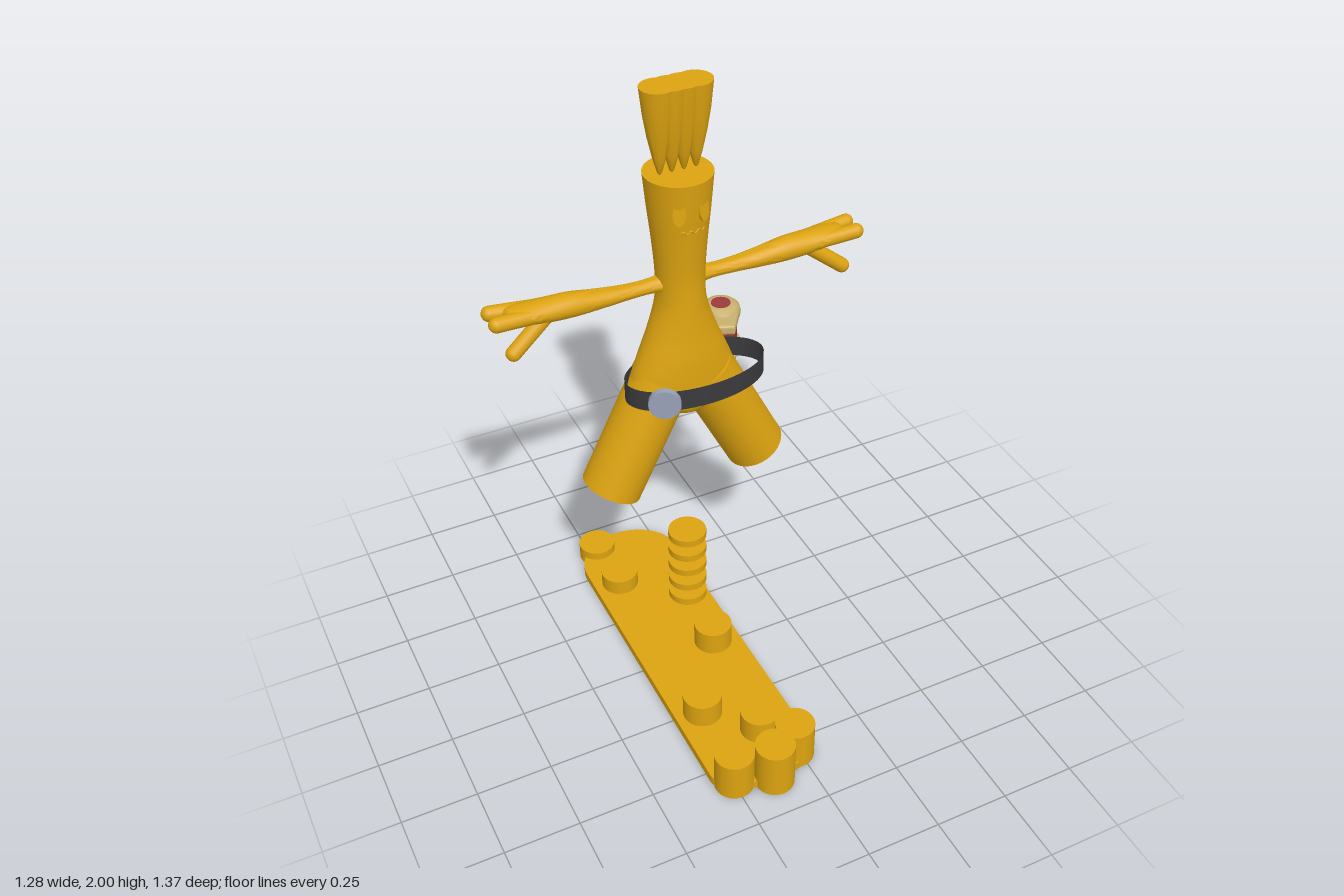
import * as THREE from 'three';
import { toCreasedNormals } from 'three/addons/utils/BufferGeometryUtils.js';

const material = (name, color, side = THREE.FrontSide) => {
  const m = new THREE.MeshStandardMaterial({ color, side });
  m.name = name;
  return m;
};

// Smooth elliptical loft, listed from top to bottom as [cx, y, cz, rx, rz]
function loft(sections, rows = 28, sides = 36) {
  const curve = (pick) => new THREE.CatmullRomCurve3(
    sections.map((s) => new THREE.Vector3(...pick(s))), false, 'catmullrom', 0.5);
  const centres = curve((s) => [s[0], s[1], s[2]]);
  const radii = curve((s) => [s[3], s[4], 0]);
  const geo = new THREE.CylinderGeometry(1, 1, 1, sides, rows);
  const p = geo.attributes.position;
  for (let i = 0; i < p.count; i++) {
    const t = Math.min(1, Math.max(0, 0.5 - p.getY(i)));
    const c = centres.getPoint(t), r = radii.getPoint(t);
    p.setXYZ(i, c.x + p.getX(i) * r.x, c.y, c.z + p.getZ(i) * r.y);
  }
  return toCreasedNormals(geo, 0.9);
}

export function createModel() {
  const gold = material('gold', 0xdca310);
  const black = material('belt black', 0x3a3a3d, THREE.DoubleSide);
  const steel = material('buckle grey', 0x98a1b8);
  const tan = material('tan', 0xc9b06e);
  const red = material('dull red', 0x9c3a3e);

  const model = new THREE.Group();
  const add = (name, geo, mat, x = 0, y = 0, z = 0, parent = model) => {
    const mesh = new THREE.Mesh(geo, mat);
    mesh.name = name;
    mesh.position.set(x, y, z);
    parent.add(mesh);
    return mesh;
  };
  // Round-ended or flat-ended rod between two points
  const rod = (name, a, b, r, round, parent) => {
    const A = new THREE.Vector3(...a), B = new THREE.Vector3(...b);
    const len = A.distanceTo(B);
    const geo = round ? new THREE.CapsuleGeometry(r, len, 8, 18)
      : new THREE.CylinderGeometry(r, r, len, 36);
    const mid = A.clone().add(B).multiplyScalar(0.5);
    const mesh = add(name, geo, gold, mid.x, mid.y, mid.z, parent);
    mesh.quaternion.setFromUnitVectors(new THREE.Vector3(0, 1, 0), B.sub(A).normalize());
  };

  // Figure, standing behind the middle of the board
  const figure = new THREE.Group();
  figure.name = 'figure';
  figure.position.z = -0.315;
  model.add(figure);

  add('body', loft([
    [0, 1.715, 0, 0.11, 0.11], [0, 1.6, 0, 0.1, 0.1], [0, 1.48, 0, 0.088, 0.088],
    [0, 1.36, 0, 0.08, 0.08], [0, 1.26, 0, 0.084, 0.084], [0, 1.16, 0, 0.114, 0.092],
    [0, 1.07, 0, 0.15, 0.102], [0, 0.98, 0, 0.182, 0.106], [0, 0.92, 0, 0.17, 0.105],
    [0, 0.87, 0, 0.1, 0.09], [0, 0.84, 0, 0.03, 0.05],
  ], 50), gold, 0, 0, 0, figure);

  for (const s of [-1, 1]) {
    rod('leg', [s * 0.27, 0.58, 0], [s * 0.07, 0.98, 0], 0.104, false, figure);

    // Arm with two fingers and a thumb, mirrored to the other side
    const arm = new THREE.Group();
    arm.name = s > 0 ? 'leftArm' : 'rightArm';
    arm.scale.x = s;
    figure.add(arm);
    const sleeve = [
      [0.585, 1.358, 0.006, 0.012], [0.57, 1.358, 0.022, 0.04], [0.52, 1.354, 0.03, 0.05],
      [0.45, 1.347, 0.037, 0.047], [0.37, 1.343, 0.04, 0.043], [0.28, 1.337, 0.032, 0.036],
      [0.18, 1.334, 0.024, 0.029], [0.1, 1.334, 0.024, 0.028], [0.03, 1.334, 0.036, 0.04],
    ].map(([x, y, ry, rz]) => [-y, x, 0, ry, rz]);
    add('forearm', loft(sleeve, 32, 24).rotateZ(-Math.PI / 2), gold, 0, 0, 0, arm);
    for (const z of [-0.036, 0.032]) {
      rod('finger', [0.5, 1.352, z * 0.75], [0.617, 1.36, z], 0.025, true, arm);
    }
    rod('thumb', [0.45, 1.335, 0.01], [0.572, 1.24, 0.028], 0.025, true, arm);

    // Eye, a thin oval plate
    const eye = add('eye', new THREE.CylinderGeometry(1, 1, 0.008, 28).rotateX(Math.PI / 2)
      .scale(0.02, 0.04, 1), gold, s * 0.04, 1.62, 0.092, figure);
    eye.rotation.set(-0.09, s * 0.41, 0, 'YXZ');
  }

  // Wavy mouth following the front of the head
  const mouthPoints = [];
  for (let i = 0; i <= 16; i++) {
    const x = -0.035 + (i / 16) * 0.08;
    mouthPoints.push(new THREE.Vector3(x, 1.55 + 0.005 * Math.sin(i * 1.2),
      Math.sqrt(0.095 ** 2 - x * x)));
  }
  add('mouth', new THREE.TubeGeometry(new THREE.CatmullRomCurve3(mouthPoints), 40, 0.003, 6),
    gold, 0, 0, 0, figure);

  // Hair, four overlapping tufts rising from points
  const tuft = [[0, 1.71], [0.008, 1.722], [0.021, 1.77], [0.036, 1.84], [0.047, 1.91],
    [0.056, 2], [0, 2]].map((q) => new THREE.Vector2(...q));
  for (let i = 0; i < 4; i++) {
    add('hairTuft', toCreasedNormals(new THREE.LatheGeometry(tuft, 28), 0.7), gold,
      -0.06 + i * 0.04, 0, 0, figure);
  }

  // Loose oval belt with a round buckle
  add('belt', new THREE.CylinderGeometry(1, 1, 0.075, 56, 1, true).scale(0.244, 1, 0.125),
    black, 0.026, 0.985, -0.27);
  const buckle = add('buckle', new THREE.CylinderGeometry(0.053, 0.053, 0.022, 32)
    .rotateX(Math.PI / 2), steel, -0.131, 0.985, -0.163);
  buckle.rotation.y = -0.42;

  // Barrel-shaped pack hanging off the back of the belt
  const pack = new THREE.Group();
  pack.name = 'pack';
  pack.position.set(0.222, 0.985, -0.478);
  pack.rotation.y = 2.72;
  model.add(pack);
  add('barrel', new THREE.CylinderGeometry(0.056, 0.056, 0.12, 28), red, 0, 0, 0, pack);
  const capProfile = [[0, 0.043], [0.056, 0.043], [0.066, 0.05], [0.068, 0.065], [0.064, 0.082],
    [0.052, 0.093], [0.036, 0.095], [0, 0.095]].map((q) => new THREE.Vector2(...q));
  // Bracket cap outline, widening from the belt to the barrel
  const bracket = (k) => {
    const s = new THREE.Shape();
    s.moveTo(-0.044 * k, -0.118);
    s.lineTo(0.044 * k, -0.118);
    s.lineTo(0.06 * k, -0.03);
    s.lineTo(-0.06 * k, -0.03);
    return s;
  };
  const slab = (k, h, bevel) => new THREE.ExtrudeGeometry(bracket(k), {
    depth: h - 2 * bevel, bevelEnabled: bevel > 0, bevelSize: bevel, bevelThickness: bevel,
    bevelOffset: -bevel, bevelSegments: 3,
  }).rotateX(Math.PI / 2).translate(0, h / 2 - bevel, 0);
  add('bracketCore', slab(0.88, 0.1, 0), red, 0, 0, 0.004, pack);
  for (const s of [-1, 1]) {
    const cap = add('barrelCap', toCreasedNormals(new THREE.LatheGeometry(capProfile, 28), 0.8),
      tan, 0, 0, 0, pack);
    if (s < 0) cap.rotation.x = Math.PI;
    add('capSpot', new THREE.CylinderGeometry(0.033, 0.033, 0.006, 24), red, 0, s * 0.0945, 0, pack);
    add('bracketCap', slab(1, 0.036, 0.01), tan, 0, s * 0.059, 0, pack);
  }

  // Board with rounded ends
  const outline = new THREE.Shape();
  outline.moveTo(-0.314, -0.5);
  outline.bezierCurveTo(-0.314, -0.6, -0.22, -0.665, -0.132, -0.665);
  outline.bezierCurveTo(-0.04, -0.665, 0.049, -0.6, 0.049, -0.5);
  outline.lineTo(0.049, 0.53);
  outline.bezierCurveTo(0.049, 0.59, -0.04, 0.625, -0.132, 0.625);
  outline.bezierCurveTo(-0.22, 0.625, -0.314, 0.59, -0.314, 0.53);
  add('board', new THREE.ExtrudeGeometry(outline, { depth: 0.03, bevelEnabled: false, curveSegments: 20 })
    .rotateX(Math.PI / 2), gold, 0, 0.03, 0);

  // Upright stubs on the board: x, z, height
  for (const [x, z, h] of [
    [-0.225, -0.62, 0.06], [-0.22, -0.415, 0.087], [-0.045, 0, 0.115], [-0.22, 0.28, 0.115],
    [-0.082, 0.427, 0.115], [-0.247, 0.57, 0.14], [-0.125, 0.615, 0.167], [-0.016, 0.545, 0.14],
  ]) {
    add('stub', new THREE.CylinderGeometry(0.065, 0.065, h, 32), gold, x, h / 2, z);
  }

  // Leaning stack of floating discs
  for (let i = 0; i < 5; i++) {
    add('disc', new THREE.CylinderGeometry(0.065, 0.065, 0.025, 32), gold,
      -0.1 + i * 0.008, 0.228 + i * 0.0495, -0.083 - i * 0.0165);
  }

  return model;
}
